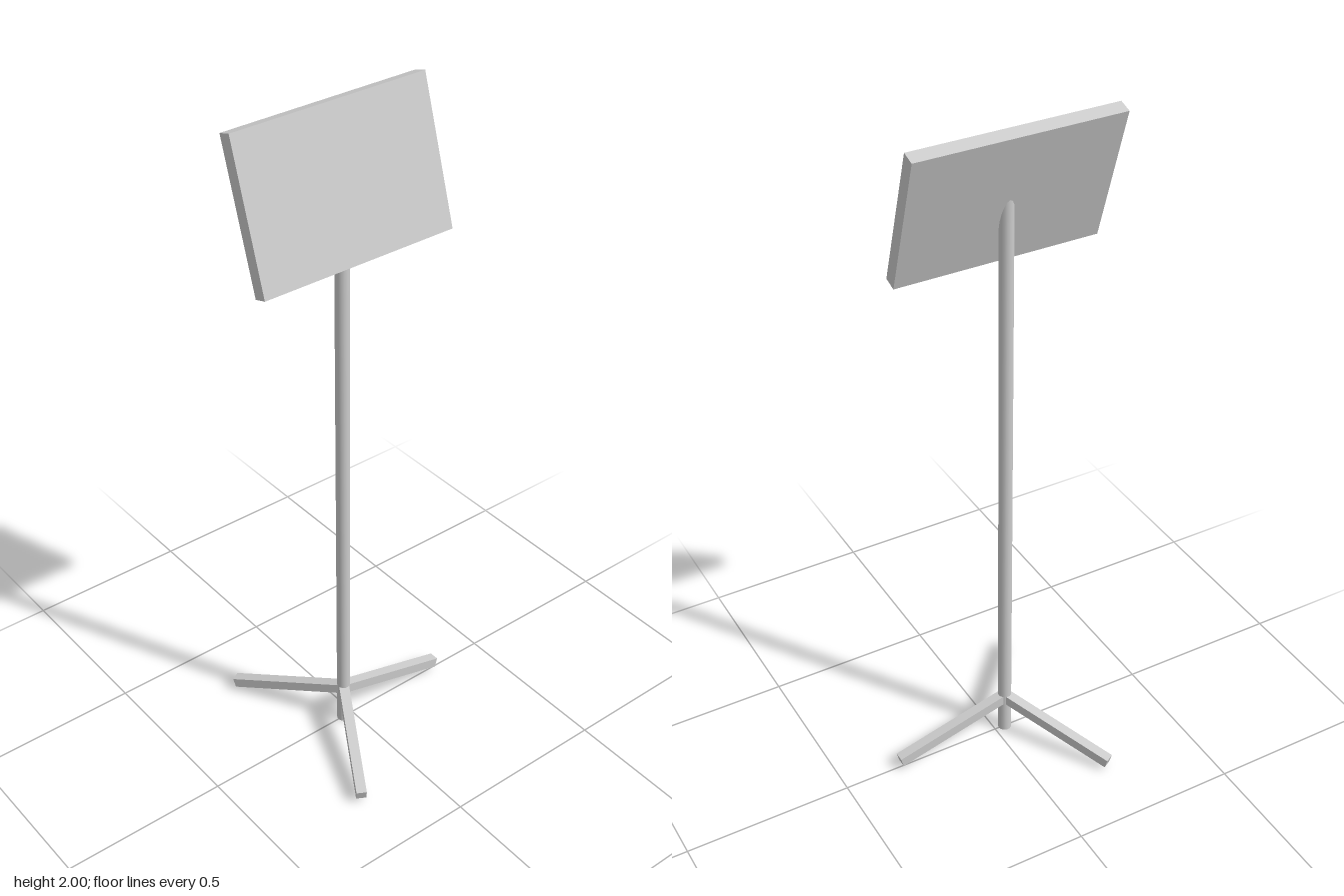
import * as THREE from 'three';

const POLE_X = -0.033;

export function createModel() {
  const model = new THREE.Group();
  model.name = 'stand';
  const grey = new THREE.MeshStandardMaterial({ color: 0xcccccc });
  grey.name = 'light grey';

  const add = (name, geometry, parent = model) => {
    const mesh = new THREE.Mesh(geometry, grey);
    mesh.name = name;
    parent.add(mesh);
    return mesh;
  };

  // Upright pole, ending inside the panel
  add('pole', new THREE.CylinderGeometry(0.02, 0.02, 1.795, 16)).position.set(POLE_X, 0.8975, 0);

  // Panel leaning back
  const panel = add('panel', new THREE.BoxGeometry(0.598, 0.412, 0.04));
  panel.position.set(POLE_X, 1.797, 0);
  panel.rotation.x = -0.304;

  // Three sloping legs, evenly spread around the pole
  const legLength = 0.37;
  const legGeometry = new THREE.BoxGeometry(legLength, 0.03, 0.03).translate(legLength / 2, 0, 0);
  for (let i = 0; i < 3; i++) {
    const pivot = new THREE.Group();
    pivot.name = 'legPivot' + (i + 1);
    pivot.position.set(POLE_X, 0.124, 0);
    pivot.rotation.y = (i * Math.PI * 2) / 3;
    add('leg', legGeometry, pivot).rotation.z = -0.262;
    model.add(pivot);
  }

  return model;
}
